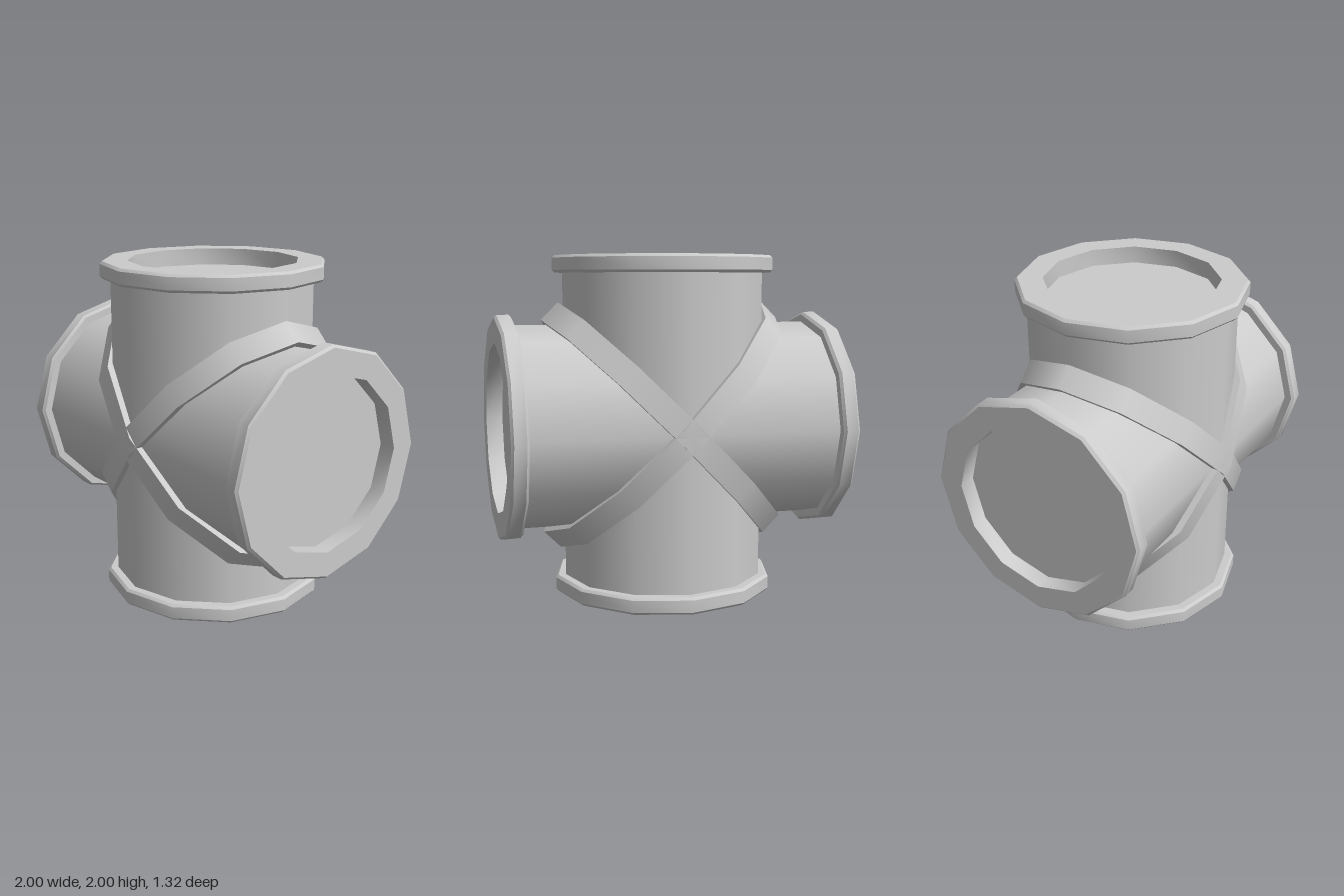
import * as THREE from 'three';
import { toCreasedNormals } from 'three/addons/utils/BufferGeometryUtils.js';

const SIDES = 12;

export function createModel() {
  const model = new THREE.Group();
  model.name = 'crossPipe';
  const material = new THREE.MeshStandardMaterial({ color: 0xcccccc });

  function add(name, geometry, angle) {
    const mesh = new THREE.Mesh(geometry, material);
    mesh.name = name;
    mesh.position.y = 1;
    mesh.rotation.z = angle;
    model.add(mesh);
  }

  // Two crossing pipes, open where the flanges cover their ends
  const pipe = new THREE.CylinderGeometry(0.6, 0.6, 1.82, SIDES, 1, true);
  add('verticalPipe', pipe, 0);
  add('horizontalPipe', pipe, Math.PI / 2);

  // Bevelled flange with a recessed, closed mouth
  const profile = [
    [0.58, 0.9], [0.645, 0.9], [0.66, 0.915], [0.66, 0.985],
    [0.645, 1], [0.5, 1], [0.5, 0.9], [0, 0.9],
  ].map(([r, y]) => new THREE.Vector2(r, y));
  const flange = toCreasedNormals(new THREE.LatheGeometry(profile, SIDES), 0.61);
  ['topFlange', 'leftFlange', 'bottomFlange', 'rightFlange'].forEach((name, i) => {
    add(name, flange, -i * Math.PI / 2);
  });

  // Elliptical seam bands along the diagonal joints
  const band = new THREE.CylinderGeometry(1, 1, 0.142, SIDES);
  band.scale(0.96, 1, 0.65);
  add('risingSeamBand', band, Math.PI / 4);
  add('fallingSeamBand', band, -Math.PI / 4);

  return model;
}
